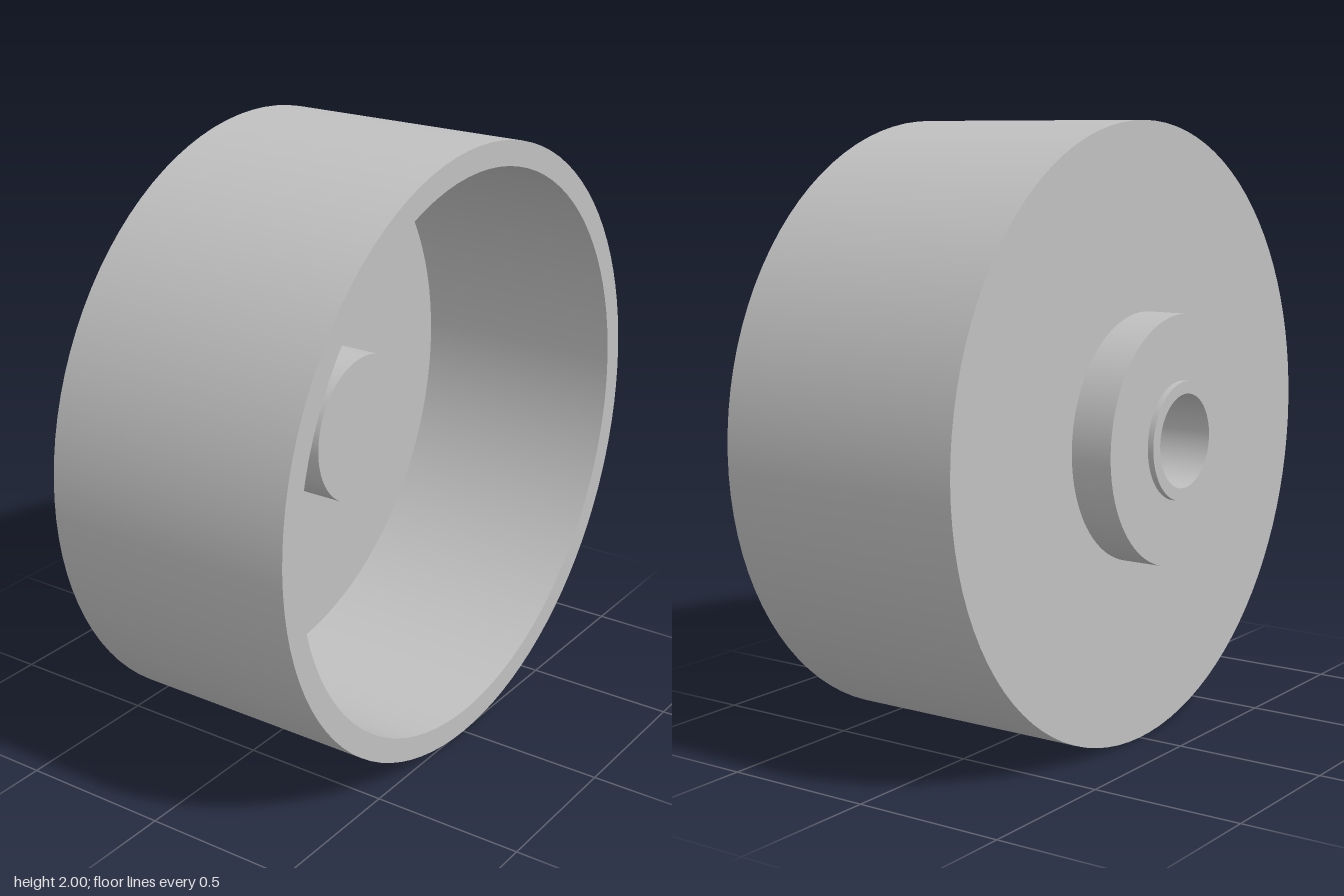
import * as THREE from 'three';
import { mergeGeometries } from 'three/addons/utils/BufferGeometryUtils.js';

// Revolves a [radius, z] profile around the z axis, keeping every profile corner sharp.
// Profiles run with the solid on their left, so the faces point outwards.
function turned(name, profile, material) {
  const bands = [];
  for (let i = 0; i < profile.length - 1; i++) {
    const ends = [profile[i], profile[i + 1]].map(([r, z]) => new THREE.Vector2(r, z));
    bands.push(new THREE.LatheGeometry(ends, 96));
  }
  const geometry = mergeGeometries(bands);
  geometry.rotateX(Math.PI / 2);
  const mesh = new THREE.Mesh(geometry, material);
  mesh.name = name;
  return mesh;
}

export function createModel() {
  const grey = new THREE.MeshStandardMaterial({ color: 0xc0c0c0 });
  grey.name = 'plain grey';

  const front = 0.505, back = -0.345, floor = -0.23;
  const hubBack = -0.485, lipBack = -0.505;
  const bossFront = 0.09, boreEnd = 0.01;
  const rimInner = 0.92, bossR = 0.25, hubR = 0.4, lipR = 0.19, boreR = 0.15;

  const wheel = new THREE.Group();
  wheel.name = 'wheel';
  wheel.add(
    // Open cup: back face, outer wall, rim, inner wall, floor
    turned('drum', [[hubR, back], [1, back], [1, front], [rimInner, front], [rimInner, floor], [bossR, floor]], grey),
    // Closed boss standing on the floor inside the cup
    turned('innerBoss', [[bossR, floor], [bossR, bossFront], [0, bossFront]], grey),
    // Raised hub on the back
    turned('rearHub', [[lipR, hubBack], [hubR, hubBack], [hubR, back]], grey),
    // Thin collar around the axle hole
    turned('collar', [[boreR, lipBack], [lipR, lipBack], [lipR, hubBack]], grey),
    // Blind axle hole running into the boss
    turned('axleBore', [[0, boreEnd], [boreR, boreEnd], [boreR, lipBack]], grey),
  );
  wheel.position.y = 1;

  const model = new THREE.Group();
  model.name = 'model';
  model.add(wheel);
  return model;
}
